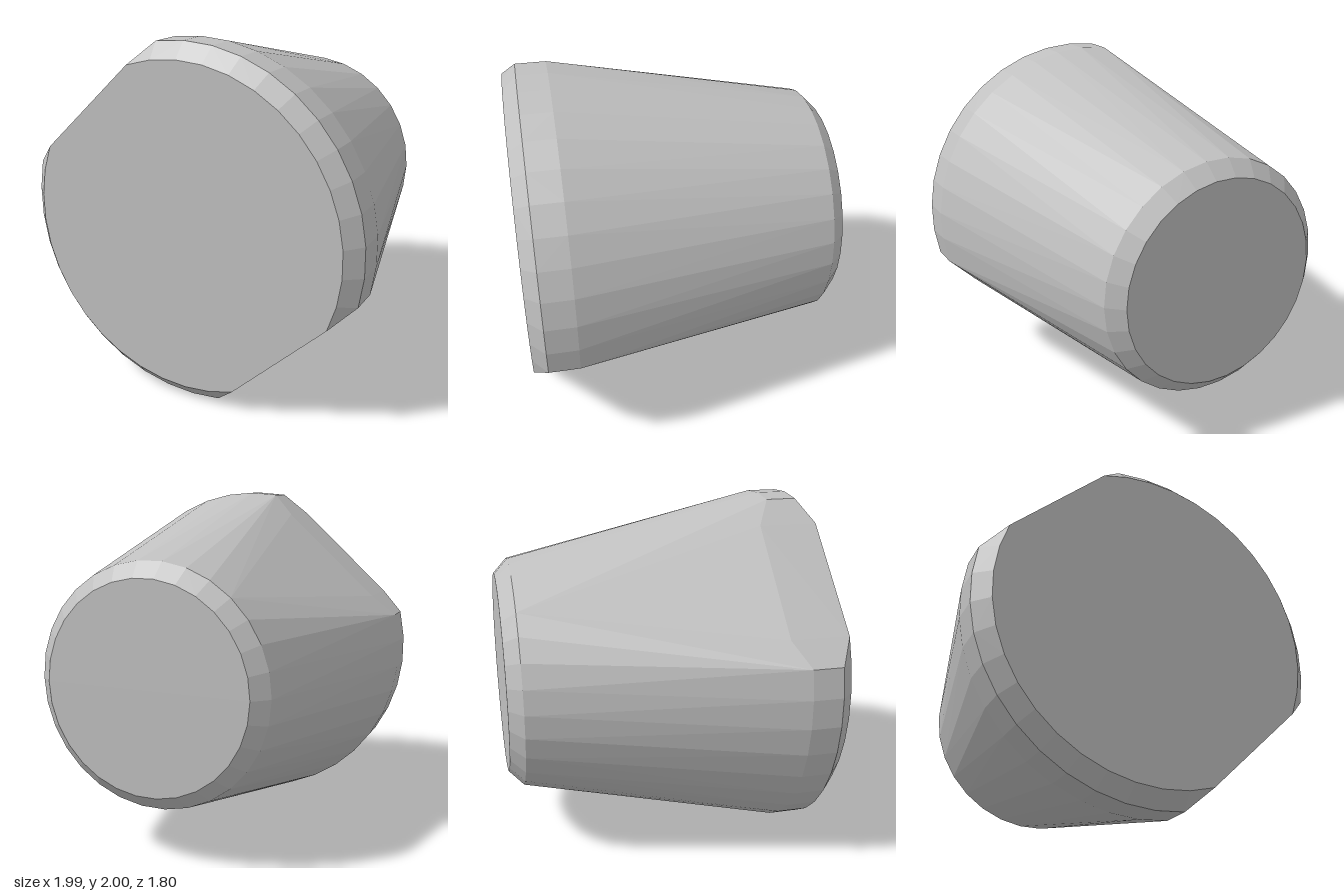
import * as THREE from 'three';
import { ConvexGeometry } from 'three/addons/geometries/ConvexGeometry.js';

const SIDES = 38;      // sides of the wide front rim
const BACK_SIDES = 30; // sides of the narrow back end

export function createModel() {
  const group = new THREE.Group();
  group.name = 'taperedPlug';
  const grey = new THREE.MeshStandardMaterial({ color: 0xc0c0c0 });
  grey.name = 'grey';

  const points = [];
  const add = (angle, r, z) =>
    points.push(new THREE.Vector3(Math.cos(angle) * r, 1 + Math.sin(angle) * r, z));
  const frontAngle = (i) => Math.PI / 2 + (i * 2 * Math.PI) / SIDES;

  // Front rim: corners 'from' to 'to' are the ends of the upper flat;
  // the opposite side is the same turned by half a circle.
  const flatRing = (r, z, from, to) => {
    for (let i = to; i <= from + SIDES / 2; i++) {
      add(frontAngle(i), r, z);
      add(frontAngle(i) + Math.PI, r, z);
    }
  };
  flatRing(0.915, 0.9, 2, 7);
  flatRing(1, 0.82, 1, 8);
  flatRing(1, 0.65, 1, 8);

  // Rear edge of both flats
  for (const i of [2, 7]) {
    add(frontAngle(i), 0.915, 0.57);
    add(frontAngle(i) + Math.PI, 0.915, 0.57);
  }

  // Narrow back end with its chamfer
  for (let i = 0; i < BACK_SIDES; i++) {
    const a = (i * 2 * Math.PI) / BACK_SIDES;
    add(a, 0.67, -0.82);
    add(a, 0.585, -0.9);
  }

  const body = new THREE.Mesh(new ConvexGeometry(points), grey);
  body.name = 'body';
  group.add(body);
  return group;
}
